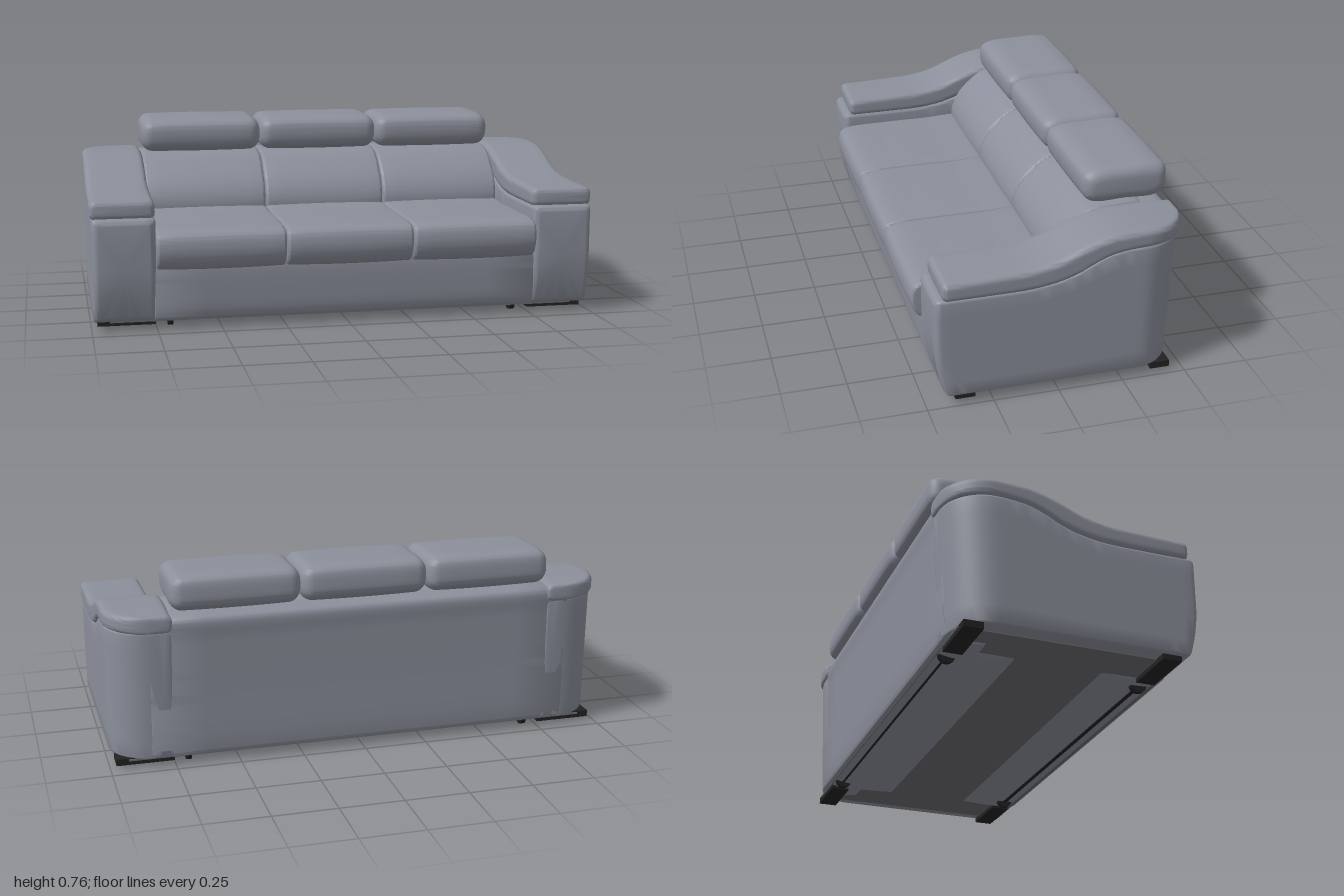
import * as THREE from 'three';
import { toCreasedNormals } from 'three/addons/utils/BufferGeometryUtils.js';

const leather = new THREE.MeshStandardMaterial({ color: 0x8c909c });
leather.name = 'grey leather';
const lining = new THREE.MeshStandardMaterial({ color: 0x6c6c70 });
lining.name = 'underside lining';
const black = new THREE.MeshStandardMaterial({ color: 0x222222 });
black.name = 'black feet';

// Skin a list of equal rings (counter-clockwise seen from +z, ordered from +z to -z) and cap both ends
function loft(rings, crease = 0.7) {
  const n = rings[0].length, pos = [], idx = [];
  rings.forEach(r => r.forEach(p => pos.push(p.x, p.y, p.z)));
  for (let i = 0; i < rings.length - 1; i++) {
    for (let j = 0; j < n; j++) {
      const a = i * n + j, b = i * n + (j + 1) % n;
      idx.push(a, a + n, b, b, a + n, b + n);
    }
  }
  [0, rings.length - 1].forEach((k, end) => {
    const c = rings[k].reduce((s, p) => s.add(p), new THREE.Vector3()).divideScalar(n);
    const ci = pos.length / 3;
    pos.push(c.x, c.y, c.z);
    for (let j = 0; j < n; j++) {
      const a = k * n + j, b = k * n + (j + 1) % n;
      if (end) idx.push(ci, b, a); else idx.push(ci, a, b);
    }
  });
  const g = new THREE.BufferGeometry();
  g.setAttribute('position', new THREE.Float32BufferAttribute(pos, 3));
  g.setIndex(idx);
  return toCreasedNormals(g, crease);
}

// Rounded rectangle ring at depth z, with subdivided straight edges
function rectRing(x0, x1, y0, y1, r, z) {
  const corners = [[x1 - r, y0 + r, -1], [x1 - r, y1 - r, 0], [x0 + r, y1 - r, 1], [x0 + r, y0 + r, 2]];
  const pts = [];
  corners.forEach(([cx, cy, q], k) => {
    let last;
    for (let i = 0; i <= 4; i++) {
      const a = (q + i / 4) * Math.PI / 2;
      last = new THREE.Vector3(cx + r * Math.cos(a), cy + r * Math.sin(a), z);
      pts.push(last);
    }
    const [nx, ny, nq] = corners[(k + 1) % 4], a = nq * Math.PI / 2;
    const next = new THREE.Vector3(nx + r * Math.cos(a), ny + r * Math.sin(a), z);
    for (let i = 1; i < 8; i++) pts.push(last.clone().lerp(next, i / 8));
  });
  return pts;
}

// Cushion: closed (z, y) side profile swept along x, with ends rounded by r; puff swells the middle
function cushion(profile, x0, x1, r, puff = 0) {
  const curve = new THREE.CatmullRomCurve3(profile.map(([z, y]) => new THREE.Vector3(z, y, 0)), true, 'centripetal');
  const pts = curve.getPoints(72).slice(0, -1);
  const box = new THREE.Box3().setFromPoints(pts);
  const c = box.getCenter(new THREE.Vector3()), h = box.getSize(new THREE.Vector3()).multiplyScalar(0.5);
  const half = (x1 - x0) / 2, stations = [];
  for (let i = 0; i <= 6; i++) {
    const a = i / 6 * Math.PI / 2;
    stations.push([half - r + r * Math.cos(a), r * (1 - Math.sin(a))]);
  }
  for (let i = 1; i < 4; i++) stations.push([(half - r) * (1 - i / 4), 0]);
  const all = [...stations, [0, 0], ...stations.slice().reverse().map(([s, e]) => [-s, e])];
  const g = loft(all.map(([s, e]) => {
    const grow = puff * (1 - (s / half) ** 2) - puff / 2 - e;
    return pts.map(p => new THREE.Vector3(
      c.x + (p.x - c.x) * (1 + grow / h.x), c.y + (p.y - c.y) * (1 + grow / h.y), s));
  }), 0.9);
  return g.rotateY(-Math.PI / 2).translate((x0 + x1) / 2, 0, 0);
}

// Height curves along z, from front to back
const heightAt = list => z => {
  if (z >= list[0][0]) return list[0][1];
  for (let i = 1; i < list.length; i++) {
    const [za, ya] = list[i - 1], [zb, yb] = list[i];
    if (z >= zb) return THREE.MathUtils.lerp(ya, yb, (za - z) / (za - zb));
  }
  return list[list.length - 1][1];
};
const smoothCurve = pts => heightAt(
  new THREE.CatmullRomCurve3(pts.map(([z, y]) => new THREE.Vector3(z, y, 0))).getPoints(60).map(p => [p.x, p.y]));
const padTop = smoothCurve([[0.44, 0.505], [0.25, 0.51], [0.1, 0.518], [0, 0.54], [-0.1, 0.582], [-0.2, 0.61], [-0.35, 0.617], [-0.5, 0.612]]);
const padBottom = smoothCurve([[0.44, 0.433], [0.25, 0.433], [0.1, 0.436], [0, 0.452], [-0.07, 0.475], [-0.15, 0.515], [-0.22, 0.537], [-0.35, 0.547], [-0.5, 0.547]]);

// Arm section loft: rounded front, quarter-round outer back corner
function armLoft(side, front, back, outer, bottom, top, r, nose, warp) {
  const R = 0.17, st = [];
  for (let i = 0; i <= 5; i++) {
    const a = i / 5 * Math.PI / 2;
    st.push([front - nose + nose * Math.cos(a), nose * (1 - Math.sin(a)), 0]);
  }
  const zStart = front - nose, zEnd = back + R;
  for (let i = 1; i <= 24; i++) st.push([THREE.MathUtils.lerp(zStart, zEnd, i / 24), 0, 0]);
  for (let i = 1; i <= 12; i++) {
    const a = i / 12 * Math.PI / 2;
    st.push([zEnd - R * Math.sin(a), i > 9 ? (i - 9) ** 2 * 0.0015 : 0, R * (1 - Math.cos(a))]);
  }
  return loft(st.map(([z, e, cut]) => {
    const a = 0.752 + e, b = outer - e - cut;
    const ring = rectRing(side > 0 ? a : -b, side > 0 ? b : -a, bottom(z) + e, top(z) - e, Math.max(r - e * 0.5, 0.006), z);
    if (warp) ring.forEach(warp);
    return ring;
  }), 0.8);
}

// Lower front tucks in, lower back leans forward
function bodyWarp(p) {
  if (p.z > 0.3) p.z -= 0.038 * Math.max(0, 1 - (p.y - 0.035) / 0.22) ** 2 * (p.z - 0.3) / 0.16;
  if (p.z < -0.2) p.z += 0.022 * (0.55 - p.y) / 0.5 * (-p.z - 0.2) / 0.29;
}

export function createModel() {
  const sofa = new THREE.Group();
  sofa.name = 'sofa';
  const add = (name, geometry, material = leather) => {
    const m = new THREE.Mesh(geometry, material);
    m.name = name;
    sofa.add(m);
  };
  const box = (name, x0, x1, y0, y1, z0, z1, mat) => add(name,
    new THREE.BoxGeometry(x1 - x0, y1 - y0, z1 - z0).translate((x0 + x1) / 2, (y0 + y1) / 2, (z0 + z1) / 2), mat);

  // Arms with padded tops
  [[1, 'left'], [-1, 'right']].forEach(([side, word]) => {
    add(word + 'Arm', armLoft(side, 0.465, -0.49, 0.993, () => 0.035, z => padBottom(z) + 0.006, 0.014, 0.025, bodyWarp));
    add(word + 'ArmPad', armLoft(side, 0.437, -0.5, 1, padBottom, padTop, 0.022, 0.02));
  });

  // Base with front panel, and rear panel
  add('base', cushion([[0.42, 0.036], [0.435, 0.06], [0.447, 0.15], [0.45, 0.25], [0.44, 0.285], [0, 0.29], [-0.4, 0.29], [-0.44, 0.27], [-0.44, 0.06], [-0.43, 0.036], [0, 0.036]], -0.76, 0.76, 0.004));
  add('rearPanel', cushion([[-0.3, 0.036], [-0.3, 0.3], [-0.3, 0.585], [-0.33, 0.6], [-0.47, 0.6], [-0.488, 0.585], [-0.485, 0.5], [-0.478, 0.3], [-0.468, 0.06], [-0.46, 0.036]], -0.84, 0.84, 0.003));

  // Seat cushions, back cushions and headrests
  const seat = [[0.455, 0.24], [0.478, 0.255], [0.495, 0.29], [0.499, 0.335], [0.487, 0.373], [0.455, 0.388], [0.3, 0.394], [0.1, 0.394], [-0.08, 0.392], [-0.1, 0.36], [-0.1, 0.26], [-0.07, 0.24], [0.2, 0.24]];
  const back = [[-0.045, 0.36], [-0.034, 0.4], [-0.042, 0.45], [-0.075, 0.51], [-0.13, 0.565], [-0.18, 0.598], [-0.24, 0.612], [-0.38, 0.612], [-0.41, 0.59], [-0.41, 0.4], [-0.38, 0.34], [-0.1, 0.34]];
  const head = [[-0.166, 0.69], [-0.175, 0.73], [-0.21, 0.749], [-0.33, 0.756], [-0.45, 0.756], [-0.488, 0.742], [-0.499, 0.69], [-0.493, 0.645], [-0.455, 0.618], [-0.33, 0.618], [-0.21, 0.618], [-0.177, 0.64]];
  [-0.503, 0, 0.503].forEach((x, i) => {
    const n = ['right', 'middle', 'left'][i];
    add(n + 'SeatCushion', cushion(seat, x - 0.25, x + 0.25, 0.012, 0.004));
    add(n + 'BackCushion', cushion(back, x - 0.25, x + 0.25, 0.012, 0.004));
    add(n + 'Headrest', cushion(head, x - 0.251, x + 0.251, 0.045, 0.003));
  });

  // Underside lining, rails, feet and round glides
  box('undersideLining', -0.93, 0.93, 0.03, 0.037, -0.45, 0.41, lining);
  [[0.35, 'front'], [-0.41, 'rear']].forEach(([z, word]) => {
    box(word + 'Rail', -0.7, 0.7, 0.022, 0.034, z - 0.008, z + 0.008, black);
    [-1, 1].forEach(s => {
      box(word + 'Foot', s * 0.865 - 0.112, s * 0.865 + 0.112, 0.014, 0.04, z - 0.035, z + 0.04, black);
      add(word + 'Glide', new THREE.CylinderGeometry(0.034, 0.034, 0.02, 20).rotateZ(Math.PI / 2).translate(s * 0.695, 0.034, z), black);
    });
  });
  return sofa;
}
